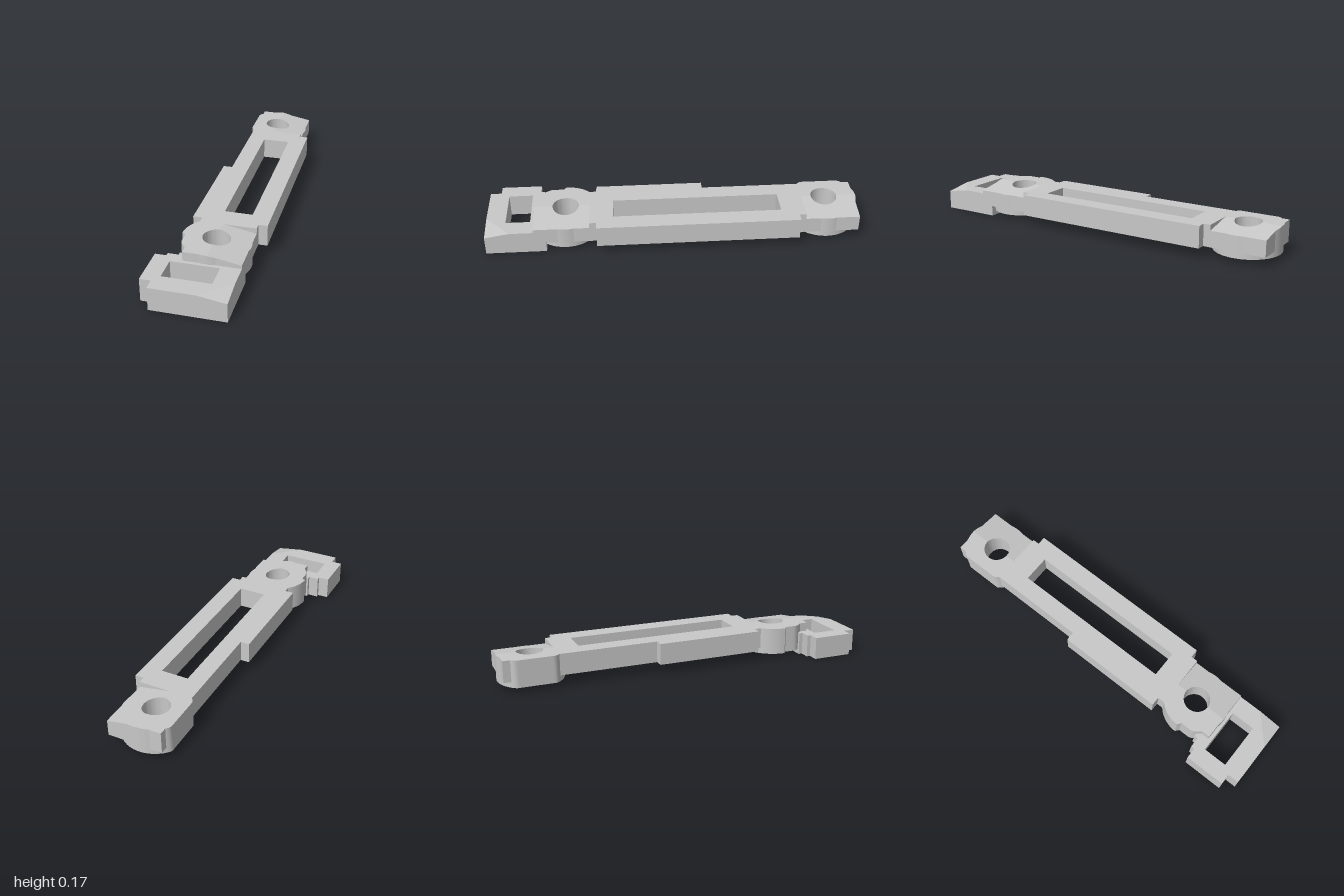
import * as THREE from 'three';
import { toCreasedNormals } from 'three/addons/utils/BufferGeometryUtils.js';

const TOP = 0.17, BAR_BASE = 0.055, RING_BASE = 0.025;
const RING_X = 0.025, RING_R = 0.175, HOLE_R = 0.07, RIGHT_X = 0.195;

const rect = (x0, x1, z0, z1) => [[x0, z0], [x1, z0], [x1, z1], [x0, z1]];

// Points [x, z] along an arc; angle 0 is +x, 90 is +z
function arc(cz, r, from, to, steps) {
  const pts = [];
  for (let i = 0; i <= steps; i++) {
    const a = THREE.MathUtils.degToRad(from + (to - from) * i / steps);
    pts.push([RING_X + r * Math.cos(a), cz + r * Math.sin(a)]);
  }
  return pts;
}

// Plan points as vectors, wound clockwise for holes and the other way for outlines
function wound(pts, clockwise) {
  const vecs = pts.map(([x, z]) => new THREE.Vector2(x, -z));
  return THREE.ShapeUtils.isClockWise(vecs) === clockwise ? vecs : vecs.reverse();
}

// Vertical slab from a plan outline; drop(x, z) lowers its top face
function slab(outline, holes, y0, y1, drop) {
  const shape = new THREE.Shape(wound(outline, false));
  for (const h of holes) shape.holes.push(new THREE.Path(wound(h, true)));
  const geo = new THREE.ExtrudeGeometry(shape, { depth: y1 - y0, bevelEnabled: false });
  geo.rotateX(-Math.PI / 2).translate(0, y0, 0);
  if (drop) {
    const p = geo.attributes.position;
    for (let i = 0; i < p.count; i++) {
      if (p.getY(i) > y1 - 0.001) p.setY(i, y1 - drop(p.getX(i), p.getZ(i)));
    }
    geo.computeVertexNormals();
  }
  return toCreasedNormals(geo, 0.5);
}

export function createModel() {
  const model = new THREE.Group();
  model.name = 'mountingBracket';
  const grey = new THREE.MeshStandardMaterial({ color: 0xc8c8c8 });
  grey.name = 'plain grey';
  const add = (name, geo, parent = model) => {
    const mesh = new THREE.Mesh(geo, grey);
    mesh.name = name;
    parent.add(mesh);
  };

  // Slotted bar with narrower necks at both ends and a step on one side
  add('slottedBar', slab([
    [-0.097, -0.70], [RIGHT_X, -0.70], [RIGHT_X, -0.663], [0.242, -0.663],
    [0.242, 0.412], [RIGHT_X, 0.412], [RIGHT_X, 0.45], [-0.097, 0.45],
    [-0.097, 0.412], [-0.145, 0.412], [-0.145, -0.17], [-0.097, -0.17],
  ], [rect(-0.003, 0.143, -0.572, 0.322)], BAR_BASE, TOP));

  // Screw eyes: a bored disc, flat on the left and sloping on the right,
  // with a square corner on the left and a sloping block on the right
  const slope = (x) => (x - RING_X) * 0.03 / (RIGHT_X - RING_X);
  const eyes = [
    {
      name: 'rearEye', cz: -0.825, z0: -0.99, z1: -0.70,
      clip: ([x, z]) => [Math.max(x, -0.115), z],
      corner: rect(-0.097, RING_X, -0.99, -0.91),
    },
    {
      name: 'frontEye', cz: 0.575, z0: 0.45, z1: 0.745,
      clip: ([x, z]) => [z > 0.576 ? Math.max(x, -0.13) : x, z],
      corner: rect(-0.097, RING_X, 0.66, 0.745),
    },
  ];
  for (const { name, cz, z0, z1, clip, corner } of eyes) {
    const group = new THREE.Group();
    group.name = name;
    model.add(group);
    const rightBore = arc(cz, HOLE_R, 90, -90, 24);
    add('flatDiscHalf', slab([
      ...arc(cz, RING_R, 90, 270, 36).map(clip), ...arc(cz, HOLE_R, 270, 90, 24),
    ], [], RING_BASE, TOP), group);
    add('slopingDiscHalf', slab([
      ...arc(cz, RING_R, -90, 90, 36), ...rightBore,
    ], [], RING_BASE, TOP, slope), group);
    add('leftCorner', slab(corner, [], BAR_BASE, TOP), group);
    add('slopingBlock', slab([
      [RING_X, z0], [RIGHT_X, z0], [RIGHT_X, z1], [RING_X, z1], ...rightBore,
    ], [], BAR_BASE, TOP, slope), group);
  }

  // End block with a rectangular window and a side tab
  const END_TOP = 0.122;
  add('endBlock', slab([
    [-0.13, 0.68], [RIGHT_X, 0.68], [RIGHT_X, 0.87], [0.05, 1], [-0.185, 1],
    [-0.185, 0.94], [-0.243, 0.94], [-0.243, 0.72], [-0.185, 0.72],
    [-0.185, 0.70], [-0.13, 0.70],
  ], [rect(-0.153, 0.095, 0.765, 0.895)], 0, END_TOP));
  // Front corner, sloping down to its tip
  add('endBlockCorner', slab([[RIGHT_X, 0.87], [RIGHT_X, 1], [0.05, 1]], [], 0, END_TOP,
    (x, z) => (x > 0.19 && z > 0.99 ? 0.022 : 0)));

  return model;
}
